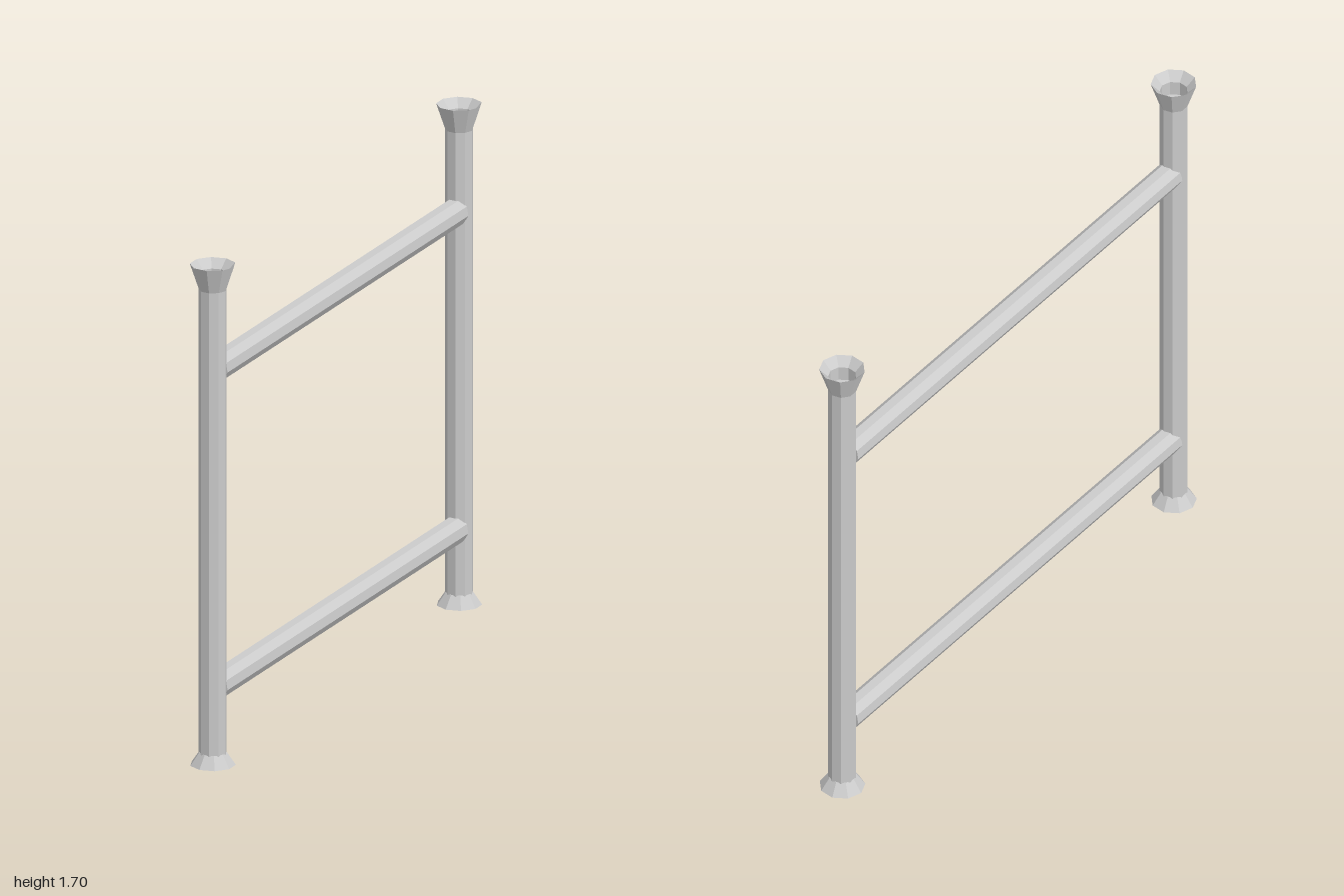
import * as THREE from 'three';

const SIDES = 9;
const TUBE_R = 0.046;
const FLARE_R = 0.075;
const POST_Z = 0.926;
const TOP = 1.7;

const material = new THREE.MeshStandardMaterial({ color: 0xcccccc, flatShading: true });

function part(name, geometry) {
  const mesh = new THREE.Mesh(geometry, material);
  mesh.name = name;
  return mesh;
}

// Upright tube with a flared open socket at the top and a flared foot
function makePost(name, z) {
  const post = new THREE.Group();
  post.name = name;

  const profile = [
    [0, 0.02], [TUBE_R, 0.02], [TUBE_R, TOP - 0.085], // tube
    [FLARE_R, TOP], // outer flare
    [TUBE_R, TOP - 0.03], [TUBE_R, TOP - 0.08], [0, TOP - 0.08], // socket
  ].map(([r, y]) => new THREE.Vector2(r, y));
  post.add(part('uprightTube', new THREE.LatheGeometry(profile, SIDES, Math.PI / 2)));

  const foot = part('foot',
    new THREE.CylinderGeometry(TUBE_R, FLARE_R, 0.042, SIDES, 1, false, -Math.PI / 2));
  foot.position.y = 0.021;
  post.add(foot);

  post.position.z = z;
  return post;
}

// Horizontal tube joining the two posts
function makeRail(name, y) {
  const rail = part(name, new THREE.CylinderGeometry(TUBE_R, TUBE_R, 1.81, SIDES).rotateX(Math.PI / 2));
  rail.position.set(0, y, 0.005);
  return rail;
}

export function createModel() {
  const model = new THREE.Group();
  model.name = 'railFrame';
  model.add(
    makePost('frontPost', POST_Z),
    makePost('backPost', -POST_Z),
    makeRail('lowerRail', 0.261),
    makeRail('upperRail', 1.341),
  );
  return model;
}
